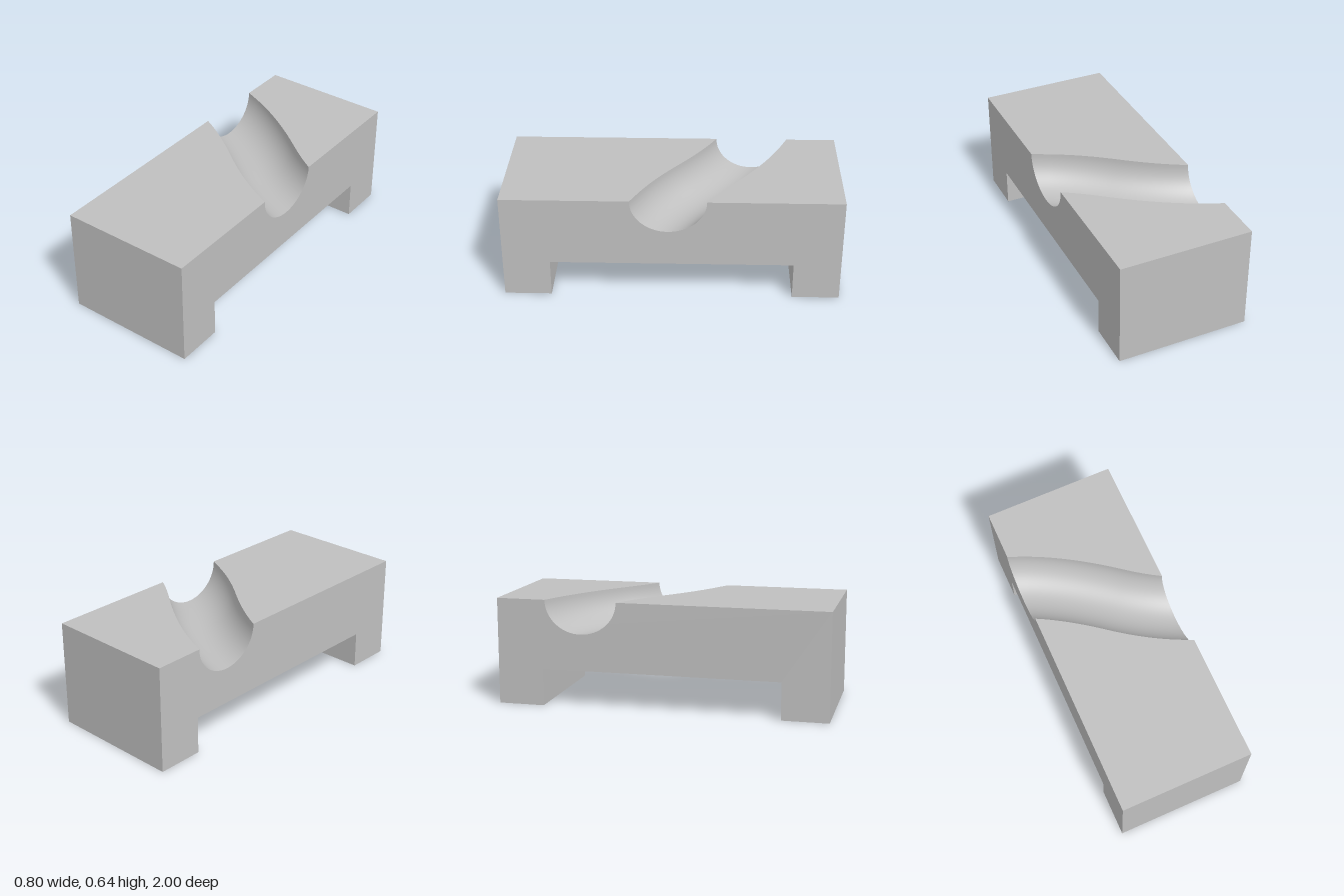
import * as THREE from 'three';
import { toCreasedNormals } from 'three/addons/utils/BufferGeometryUtils.js';

const HALF_W = 0.4, TOP = 0.645, LEG_H = 0.225, LEG_IN = 0.72, RADIUS = 0.2;
const STATIONS = 40, ARC = 32;

// S-shaped centre line of the groove: [x, z, slope], joined by cubics
const PATH = [[-0.4, -0.483, 0.43], [0.085, -0.18, 0.79], [0.4, 0.022, 0.49]];

function centre(x) {
  const first = PATH[0], last = PATH[2];
  if (x <= first[0]) return { z: first[1] + first[2] * (x - first[0]), slope: first[2] };
  if (x >= last[0]) return { z: last[1] + last[2] * (x - last[0]), slope: last[2] };
  const k = x < PATH[1][0] ? 0 : 1;
  const [x0, z0, m0] = PATH[k], [x1, z1, m1] = PATH[k + 1];
  const h = x1 - x0, t = (x - x0) / h, t2 = t * t, t3 = t2 * t;
  return {
    z: (2 * t3 - 3 * t2 + 1) * z0 + (t3 - 2 * t2 + t) * h * m0 + (3 * t2 - 2 * t3) * z1 + (t3 - t2) * h * m1,
    slope: (6 * t2 - 6 * t) * (z0 - z1) / h + (3 * t2 - 4 * t + 1) * m0 + (3 * t2 - 2 * t) * m1,
  };
}

// z at a given x on the curve lying a fixed distance beside the centre line
function offsetZ(x, dist) {
  let lo = x - 0.3, hi = x + 0.3;
  for (let i = 0; i < 40; i++) {
    const mid = (lo + hi) / 2, { slope } = centre(mid);
    if (mid - dist * slope / Math.hypot(1, slope) < x) lo = mid; else hi = mid;
  }
  const { z, slope } = centre(lo);
  return z + dist / Math.hypot(1, slope);
}

// Outline [z, y] of the block at a given x, groove included
function profile(x) {
  const pts = [[1, 0], [LEG_IN, 0], [LEG_IN, LEG_H], [-LEG_IN, LEG_H], [-LEG_IN, 0], [-1, 0], [-1, TOP]];
  for (let j = 0; j <= ARC; j++) {
    const a = Math.PI * j / ARC;
    pts.push([offsetZ(x, -RADIUS * Math.cos(a)), TOP - RADIUS * Math.sin(a)]);
  }
  pts.push([1, TOP]);
  return pts;
}

// Skin through all outlines from one side to the other
function skin() {
  const pos = [], index = [];
  let n = 0;
  for (let i = 0; i <= STATIONS; i++) {
    const x = -HALF_W + 2 * HALF_W * i / STATIONS;
    const pts = profile(x);
    n = pts.length;
    pts.forEach(([z, y]) => pos.push(x, y, z));
  }
  for (let i = 0; i < STATIONS; i++) {
    for (let j = 0; j < n; j++) {
      const k = (j + 1) % n;
      const a = i * n + j, b = i * n + k, c = b + n, d = a + n;
      index.push(a, b, d, b, c, d);
    }
  }
  const geo = new THREE.BufferGeometry();
  geo.setAttribute('position', new THREE.Float32BufferAttribute(pos, 3));
  geo.setIndex(index);
  return toCreasedNormals(geo, Math.PI / 6);
}

// Flat side wall; side is +1 for the left, -1 for the right
function wall(side) {
  const shape = new THREE.Shape(profile(side * HALF_W).map(([z, y]) => new THREE.Vector2(-side * z, y)));
  return new THREE.ShapeGeometry(shape).rotateY(side * Math.PI / 2).translate(side * HALF_W, 0, 0);
}

export function createModel() {
  const grey = new THREE.MeshStandardMaterial({ color: 0xbfbfbf });
  grey.name = 'grey';
  const group = new THREE.Group();
  group.name = 'groovedBlock';
  const add = (name, geo) => {
    const mesh = new THREE.Mesh(geo, grey);
    mesh.name = name;
    group.add(mesh);
  };
  add('blockWithGroove', skin());
  add('leftWall', wall(1));
  add('rightWall', wall(-1));
  return group;
}
